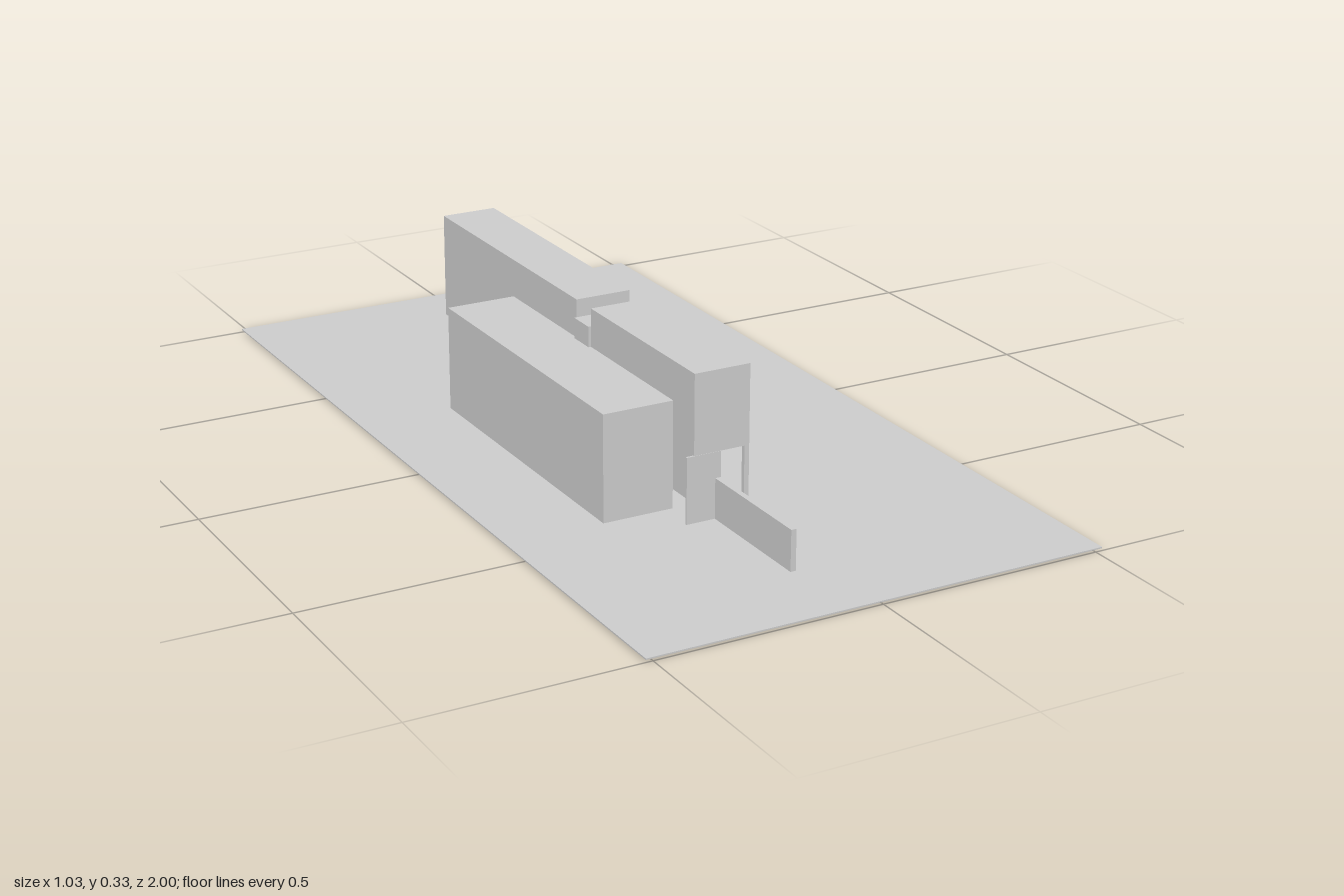
import * as THREE from 'three';

export function createModel() {
  const model = new THREE.Group();
  const material = new THREE.MeshStandardMaterial({ color: 0xcccccc, flatShading: true });

  // Box given by its min and max extents on each axis
  function block(name, [x0, x1], [y0, y1], [z0, z1]) {
    const mesh = new THREE.Mesh(new THREE.BoxGeometry(x1 - x0, y1 - y0, z1 - z0), material);
    mesh.position.set((x0 + x1) / 2, (y0 + y1) / 2, (z0 + z1) / 2);
    mesh.name = name;
    model.add(mesh);
  }

  const floor = 0.008;
  const wingX = [-0.137, -0.009];
  const wallX = [-0.088, -0.076];

  block('ground', [-0.515, 0.515], [0.005, floor], [-1, 1]);

  // Raised wings and the low block beside them
  block('rearWing', wingX, [0.089, 0.33], [-0.655, 0.008]);
  block('frontWing', wingX, [0.154, 0.33], [0.073, 0.513]);
  block('sideBlock', [-0.297, -0.137], [floor, 0.244], [-0.295, 0.427]);
  block('connector', [-0.143, -0.082], [floor, 0.29], [0.008, 0.073]);

  // Long spine wall under the wings, running out past the front
  block('rearSpineWall', wallX, [floor, 0.089], [-0.655, 0.008]);
  block('frontSpineWall', wallX, [floor, 0.154], [0.073, 0.509]);
  block('gardenWall', wallX, [floor, 0.097], [0.509, 0.806]);
  block('crossWall', [-0.154, -0.075], [floor, 0.154], [0.509, 0.514]);

  // Stilts along the open edge
  const column = (name, z, bottom, top) =>
    block(name, [-0.02, -0.009], [bottom, top], [z - 0.005, z + 0.005]);
  for (let i = 0; i < 8; i++) column('rearColumn', Math.max(0.003 - i * 0.0965, -0.65), 0, 0.089);
  for (let i = 0; i < 4; i++) column('frontColumn', 0.508 - i * 0.143, floor, 0.154);

  return model;
}
